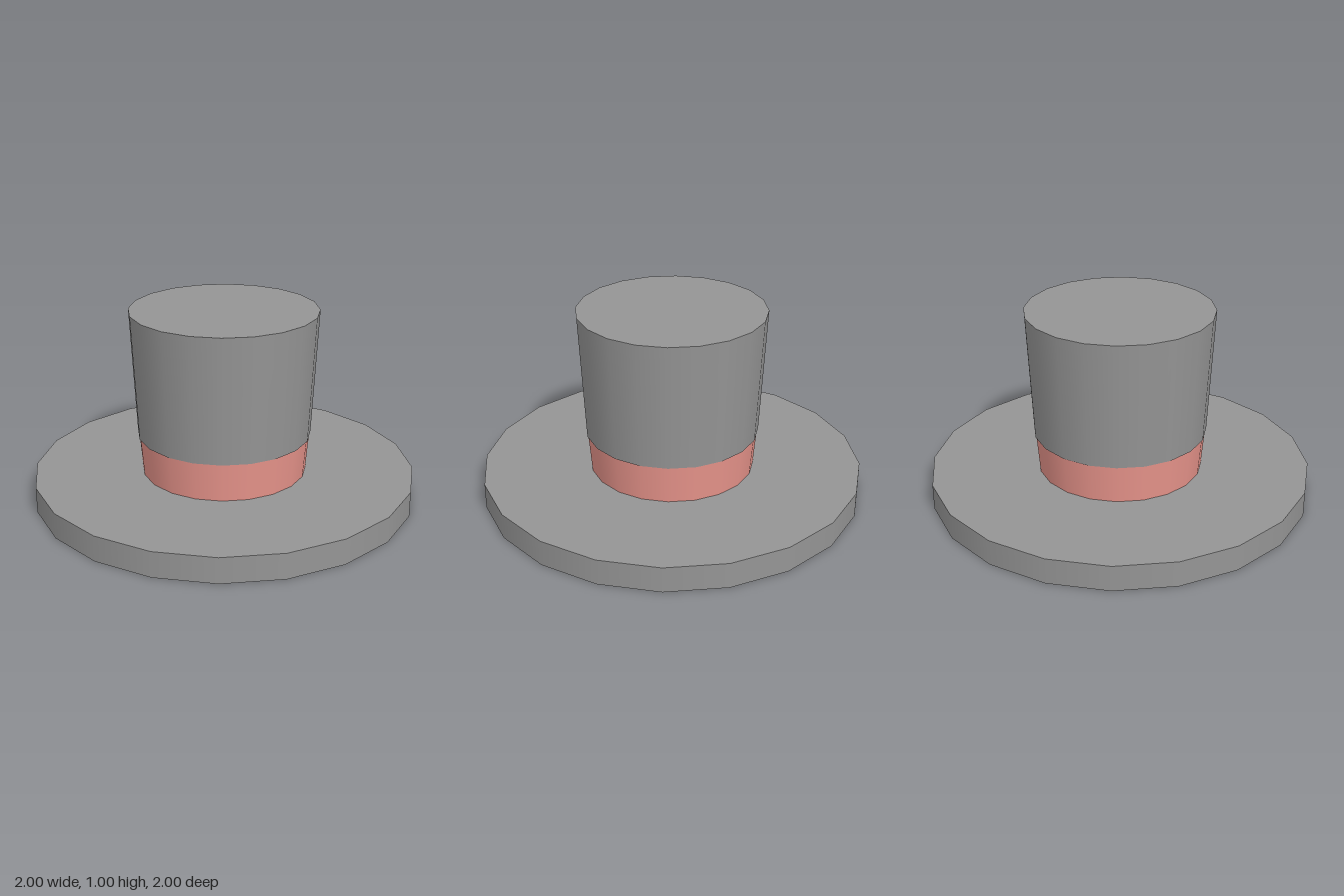
import * as THREE from 'three';

const SIDES = 20;
const FELT = 0x959595;
const RIBBON = 0xe9958c;

// Smooth-sided, capped round section between two heights
function section(name, rBottom, rTop, y0, y1, color) {
  const geometry = new THREE.CylinderGeometry(rTop, rBottom, y1 - y0, SIDES);
  geometry.translate(0, (y0 + y1) / 2, 0);
  const mesh = new THREE.Mesh(geometry, new THREE.MeshStandardMaterial({ color }));
  mesh.name = name;
  return mesh;
}

export function createModel() {
  const hat = new THREE.Group();
  hat.name = 'topHat';
  hat.add(
    section('brim', 1, 1, 0, 0.135, FELT),
    section('band', 0.432, 0.449, 0.135, 0.338, RIBBON),
    // Crown flares upward and slightly overhangs the band
    section('crown', 0.454, 0.487, 0.338, 1, FELT),
  );
  return hat;
}
